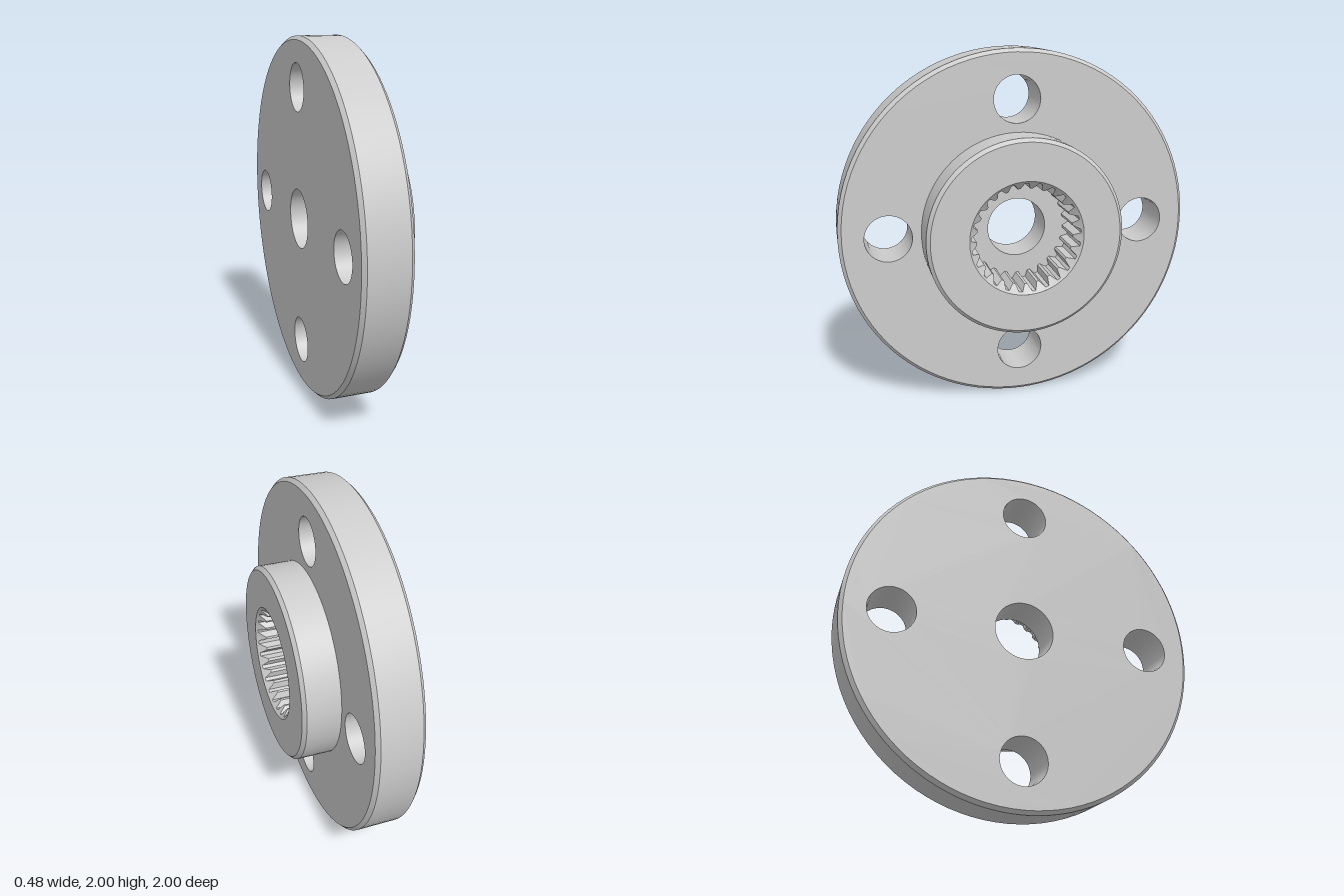
import * as THREE from 'three';
import { toCreasedNormals } from 'three/addons/utils/BufferGeometryUtils.js';

const SEG = 96;
const BACK = -0.232, FRONT = 0.027, HUB = 0.235, FLOOR = -0.02; // positions along the axis
const RIM_R = 1, HUB_R = 0.55, BEVEL = 0.02;
const BORE_R = 0.167, HOLE_R = 0.131, HOLE_AT = 0.73;
const TEETH = 25, TIP_R = 0.272, ROOT_R = 0.308, MOUTH_R = 0.32;

const material = new THREE.MeshStandardMaterial({ color: 0xcccccc });

function add(group, name, geometry) {
  const mesh = new THREE.Mesh(geometry, material);
  mesh.name = name;
  group.add(mesh);
  return mesh;
}

// Revolved skin about z from [radius, z] pairs; rising z faces outward, falling z inward
function revolve(profile, segments = SEG) {
  const points = profile.map(([r, z]) => new THREE.Vector2(r, z));
  const geometry = new THREE.LatheGeometry(points, segments).rotateX(Math.PI / 2);
  return toCreasedNormals(geometry, 0.5);
}

function circle(r, x = 0, y = 0, segments = SEG) {
  return Array.from({ length: segments }, (_, i) => {
    const t = (i / segments) * Math.PI * 2;
    return new THREE.Vector2(x + r * Math.cos(t), y + r * Math.sin(t));
  });
}

// Flat face at height z with holes cut out
function face(outline, holes, z) {
  const shape = new THREE.Shape(outline);
  shape.holes = holes.map((points) => new THREE.Path(points));
  return new THREE.ShapeGeometry(shape).translate(0, 0, z);
}

// Outline of the internal teeth
function toothOutline() {
  const points = [];
  const pitch = (Math.PI * 2) / TEETH;
  for (let i = 0; i < TEETH; i++) {
    for (const [f, r] of [[-0.13, ROOT_R], [0.13, ROOT_R], [0.39, TIP_R], [0.61, TIP_R]]) {
      const t = Math.PI / 2 + (i + f) * pitch;
      points.push(new THREE.Vector2(r * Math.cos(t), r * Math.sin(t)));
    }
  }
  return points;
}

// Toothed wall rising from the floor, ending in a conical lead-in at the mouth
function toothWall(outline) {
  const rings = outline.map((p) => {
    const r = p.length(), k = MOUTH_R / r;
    return [
      [p.x, p.y, FLOOR],
      [p.x, p.y, HUB - (MOUTH_R - r)],
      [p.x * k, p.y * k, HUB],
    ];
  });
  const positions = [];
  rings.forEach((a, i) => {
    const b = rings[(i + 1) % rings.length];
    for (let j = 0; j < 2; j++) {
      positions.push(...a[j], ...a[j + 1], ...b[j]);
      positions.push(...b[j], ...a[j + 1], ...b[j + 1]);
    }
  });
  const geometry = new THREE.BufferGeometry();
  geometry.setAttribute('position', new THREE.Float32BufferAttribute(positions, 3));
  geometry.computeVertexNormals();
  return geometry;
}

export function createModel() {
  const model = new THREE.Group();
  model.name = 'flangedSplineHub';
  const body = new THREE.Group();
  body.name = 'body';
  body.rotation.y = Math.PI / 2; // axis z becomes x
  model.add(body);

  const centres = [0, 1, 2, 3].map((i) => {
    const t = (i * Math.PI) / 2;
    return [HOLE_AT * Math.cos(t), HOLE_AT * Math.sin(t)];
  });
  const boltHoles = centres.map(([x, y]) => circle(HOLE_R, x, y, 48));

  // Flange: bevelled rim and two flat faces
  add(body, 'flangeRim', revolve([
    [RIM_R - BEVEL, BACK], [RIM_R, BACK + BEVEL], [RIM_R, FRONT - BEVEL], [RIM_R - BEVEL, FRONT],
  ]));
  add(body, 'flangeFrontFace', face(circle(RIM_R - BEVEL), [circle(HUB_R), ...boltHoles], FRONT));
  add(body, 'flangeBackFace',
    face(circle(RIM_R - BEVEL), [circle(BORE_R), ...boltHoles], -BACK).rotateY(Math.PI));

  // Bolt hole walls
  for (const [x, y] of centres) {
    add(body, 'boltHole', revolve([[HOLE_R, FRONT], [HOLE_R, BACK]], 48)).position.set(x, y, 0);
  }

  // Hub: bevelled collar and its end face
  add(body, 'hubCollar', revolve([[HUB_R, FRONT], [HUB_R, HUB - BEVEL], [HUB_R - BEVEL, HUB]]));
  add(body, 'hubFace', face(circle(HUB_R - BEVEL), [circle(MOUTH_R)], HUB));

  // Toothed socket with a floor, and the bore through it
  const teeth = toothOutline();
  add(body, 'socketTeeth', toothWall(teeth));
  add(body, 'socketFloor', face(teeth, [circle(BORE_R)], FLOOR));
  add(body, 'bore', revolve([[BORE_R, FLOOR], [BORE_R, BACK]]));

  // Slight tilt and roll of the whole part
  model.rotation.set(0.007, 0.0075, 0.0075);
  model.position.y = 1;
  return model;
}
